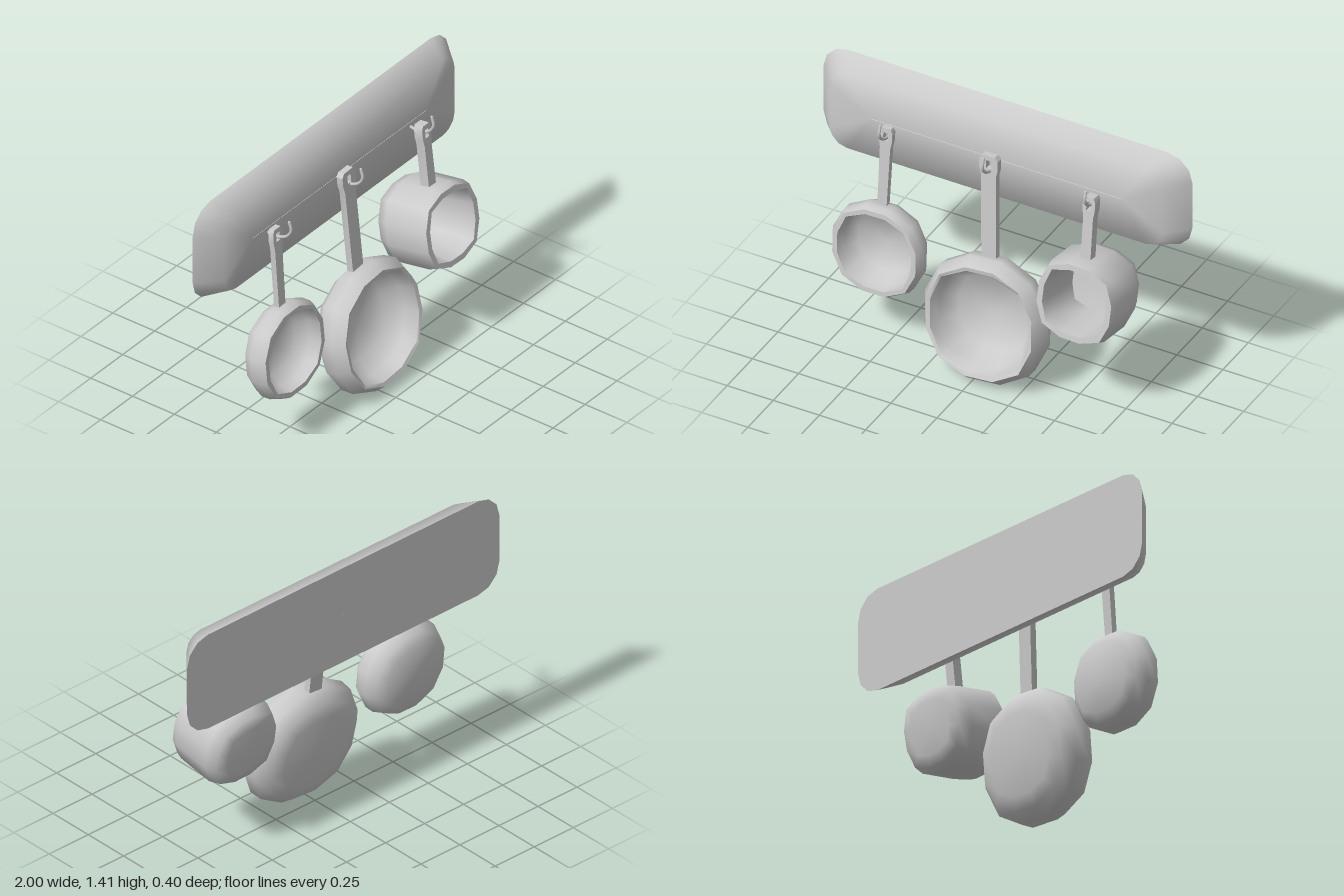
import * as THREE from 'three';
import { toCreasedNormals } from 'three/addons/utils/BufferGeometryUtils.js';

const material = new THREE.MeshStandardMaterial({ color: 0xcccccc });

function part(name, geometry) {
  const mesh = new THREE.Mesh(geometry, material);
  mesh.name = name;
  return mesh;
}

// Skin over rings of equal point count, running from back to front
function loft(rings, crease) {
  const n = rings[0].length;
  const index = [];
  for (let i = 0; i < rings.length - 1; i++) {
    for (let j = 0; j < n; j++) {
      const a = i * n + j, b = i * n + (j + 1) % n;
      index.push(a, b, b + n, a, b + n, a + n);
    }
  }
  const geo = new THREE.BufferGeometry();
  geo.setAttribute('position', new THREE.Float32BufferAttribute(rings.flat(2), 3));
  geo.setIndex(index);
  return toCreasedNormals(geo, crease);
}

// Twelve-sided rounded square; corner pushes the diagonal points out
function panRing([r, z, corner]) {
  return Array.from({ length: 12 }, (_, k) => {
    const a = (15 + 30 * k) * Math.PI / 180;
    const s = r * (k % 3 === 1 ? corner : 1.035);
    return [s * Math.cos(a), s * Math.sin(a), z];
  });
}

// Rounded rectangle with chamfer-like corners of three segments
function boardRing(w, h, r, z) {
  const pts = [];
  for (let q = 0; q < 4; q++) {
    const sx = q === 0 || q === 3 ? 1 : -1, sy = q < 2 ? 1 : -1;
    for (let k = 0; k <= 3; k++) {
      const a = (q + k / 3) * Math.PI / 2;
      pts.push([sx * (w - r) + r * Math.cos(a), sy * (h - r) + r * Math.sin(a), z]);
    }
  }
  return pts;
}

// Tapered strip with a hanging slot near its upper end
function handleGeometry(length, bottomW, topW, depth) {
  const b = bottomW / 2, t = topW / 2;
  const shape = new THREE.Shape([
    [-b, 0], [b, 0], [t * 0.8, length - 0.11], [t, length - 0.07], [t, length - 0.02],
    [t * 0.7, length], [-t * 0.7, length], [-t, length - 0.02], [-t, length - 0.07],
    [-t * 0.8, length - 0.11],
  ].map(p => new THREE.Vector2(...p)));
  const y = length - 0.045;
  shape.holes.push(new THREE.Path([
    [-0.013, y - 0.025], [-0.013, y + 0.02], [0.013, y + 0.02], [0.013, y - 0.025],
  ].map(p => new THREE.Vector2(...p))));
  const geo = new THREE.ExtrudeGeometry(shape, { depth, bevelEnabled: false });
  geo.translate(0, 0, -depth / 2);
  return toCreasedNormals(geo, 0.6);
}

// pos is the centre of the opening; profile rows are [radius, z, corner]
const pans = [
  {
    name: 'leftHandPan', pos: [-0.57, 0.505, 0.085], tilt: -0.08, roll: 0.02,
    profile: [[0, -0.165, 1.06], [0.17, -0.16, 1.1], [0.215, -0.13, 1.07], [0.24, -0.08, 1.06],
      [0.24, -0.03, 1.06], [0.225, 0, 1.07], [0.2, 0, 1.1], [0.19, -0.06, 1.1],
      [0.15, -0.12, 1.12], [0, -0.13, 1.1]],
    handle: { from: [-0.57, 0.7, -0.005], to: [-0.565, 1.165, -0.04], w: [0.05, 0.07], d: 0.03 },
  },
  {
    name: 'middlePan', pos: [0.035, 0.34, 0.155], tilt: -0.16, roll: 0.08,
    profile: [[0, -0.205, 1.06], [0.2, -0.205, 1.1], [0.265, -0.185, 1.08], [0.318, -0.13, 1.06],
      [0.322, -0.06, 1.06], [0.285, 0, 1.07], [0.265, -0.005, 1.09], [0.25, -0.08, 1.09],
      [0.19, -0.16, 1.12], [0, -0.17, 1.1]],
    handle: { from: [0.015, 0.61, 0], to: [-0.01, 1.195, -0.042], w: [0.08, 0.1], d: 0.035 },
  },
  {
    name: 'rightHandPan', pos: [0.558, 0.648, 0.165], tilt: -0.17, roll: -0.03,
    profile: [[0, -0.315, 1.12], [0.13, -0.315, 1.14], [0.185, -0.3, 1.13], [0.207, -0.24, 1.12],
      [0.207, -0.04, 1.12], [0.197, 0, 1.12], [0.168, 0, 1.16], [0.16, -0.06, 1.18],
      [0.14, -0.25, 1.18], [0, -0.265, 1.15]],
    handle: { from: [0.555, 0.8, 0.025], to: [0.555, 1.165, -0.018], w: [0.055, 0.066], d: 0.05 },
  },
];

export function createModel() {
  const model = new THREE.Group();
  model.name = 'hangingPans';

  // Wall board, widest at its back
  const board = part('wallBoard', loft([
    boardRing(0.001, 0.001, 0.001, -0.2),
    boardRing(1, 0.266, 0.135, -0.2),
    boardRing(0.9, 0.216, 0.09, -0.085),
    boardRing(0.68, 0.001, 0.001, -0.085),
  ], 1.2));
  board.position.y = 1.146;
  model.add(board);

  // Curved hooks
  const curve = new THREE.CatmullRomCurve3([
    [-0.09, 1.12], [-0.05, 1.112], [-0.01, 1.12], [0.03, 1.142], [0.053, 1.18], [0.042, 1.225],
  ].map(([z, y]) => new THREE.Vector3(0, y, z)));
  const ends = [0, 1].map(t => curve.getPoint(t));
  for (const x of [-0.56, 0, 0.555]) {
    const hook = new THREE.Group();
    hook.name = 'hook';
    hook.add(part('hookWire', new THREE.TubeGeometry(curve, 14, 0.008, 6)));
    for (const p of ends) {
      const tip = part('hookTip', new THREE.SphereGeometry(0.008, 6, 4));
      tip.position.copy(p);
      hook.add(tip);
    }
    hook.position.x = x;
    model.add(hook);
  }

  // Pans with their handles
  for (const { name, pos, tilt, roll, profile, handle } of pans) {
    const pan = new THREE.Group();
    pan.name = name;
    const bowl = part('bowl', loft(profile.map(panRing), 1.1));
    bowl.position.set(...pos);
    bowl.rotation.set(tilt, 0, roll);
    pan.add(bowl);

    const from = new THREE.Vector3(...handle.from);
    const dir = new THREE.Vector3(...handle.to).sub(from);
    const grip = part('handle', handleGeometry(dir.length(), ...handle.w, handle.d));
    grip.position.copy(from);
    grip.quaternion.setFromUnitVectors(new THREE.Vector3(0, 1, 0), dir.normalize());
    pan.add(grip);
    model.add(pan);
  }
  return model;
}
